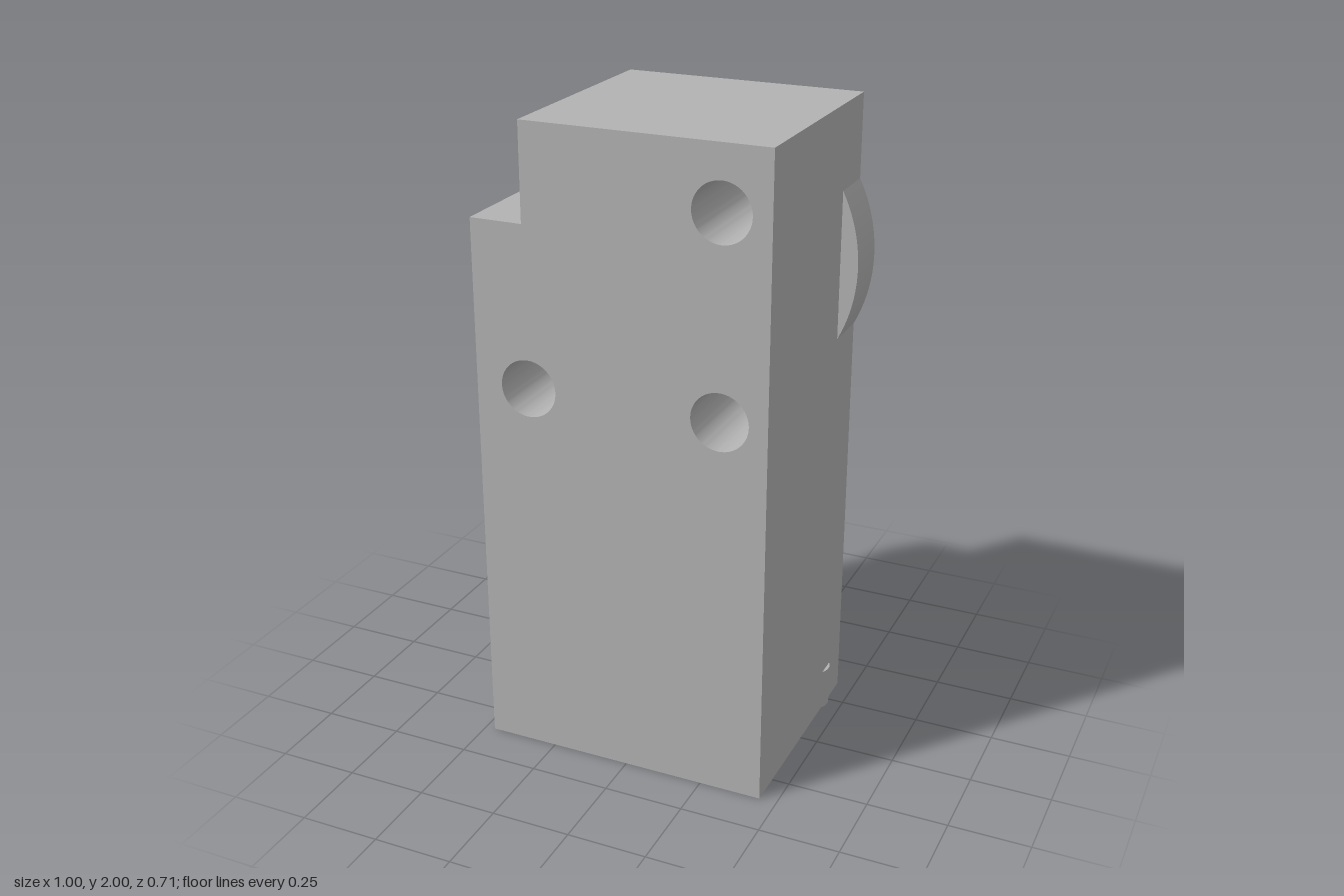
import * as THREE from 'three';
import { toCreasedNormals } from 'three/addons/utils/BufferGeometryUtils.js';

const LEFT = 0.445, RIGHT = -0.47, DEPTH = 0.356;
const STEP_Z = -0.204; // front plane of the rear disc, floor of the counterbores
const SLAB = 0.25;     // height of the drilled base

export function createModel() {
  const group = new THREE.Group();
  const grey = new THREE.MeshStandardMaterial({ color: 0xb2b2b2 });
  grey.name = 'grey';

  const add = (name, geometry) => {
    const mesh = new THREE.Mesh(toCreasedNormals(geometry, 0.5), grey);
    mesh.name = name;
    group.add(mesh);
    return mesh;
  };

  const extrude = (shape, depth) =>
    new THREE.ExtrudeGeometry(shape, { depth, bevelEnabled: false, curveSegments: 32 });

  const drill = (shape, centres, radius) => {
    for (const [x, y] of centres) {
      shape.holes.push(new THREE.Path().absarc(x, y, radius, 0, Math.PI * 2, true));
    }
    return shape;
  };

  const polygon = (points) => new THREE.Shape(points.map(([x, y]) => new THREE.Vector2(x, y)));

  // Part of a circle beyond a flat wall, to the +x side
  const segment = (centreX, centreY, radius, wallX) => {
    const angle = Math.acos((wallX - centreX) / radius);
    return new THREE.Shape().absarc(centreX, centreY, radius, -angle, angle, false);
  };

  // Stepped upper body: wide counterbores in front, narrow holes behind
  const outline = [[RIGHT, SLAB], [LEFT, SLAB], [LEFT, 2], [-0.305, 2], [-0.305, 1.705], [RIGHT, 1.705]];
  const bolts = [[0.3, 1.81], [0.3, 1.21], [-0.3, 1.21]];
  add('bodyFront', extrude(drill(polygon(outline), bolts, 0.088), DEPTH - STEP_Z))
    .position.z = STEP_Z;
  add('bodyBack', extrude(drill(polygon(outline), bolts, 0.032), STEP_Z + DEPTH))
    .position.z = -DEPTH;

  // Base with two rows of blind holes from below
  const baseHoles = [];
  for (const x of [-0.385, -0.11, 0.11, 0.385]) {
    for (const z of [-0.227, 0.247]) baseHoles.push([x, -z]);
  }
  const footprint = polygon([[RIGHT, -DEPTH], [LEFT, -DEPTH], [LEFT, DEPTH], [RIGHT, DEPTH]]);
  add('base', extrude(drill(footprint, baseHoles, 0.034), SLAB).rotateX(-Math.PI / 2));

  // Rear disc, seen only where it bulges past each side wall
  const discDepth = STEP_Z + DEPTH;
  add('discLeft', extrude(segment(0, 1.515, 0.5, LEFT), discDepth)).position.z = -DEPTH;
  const discRight = add('discRight', extrude(segment(0, 1.515, 0.5, -RIGHT), discDepth));
  discRight.rotation.z = Math.PI;
  discRight.position.set(0, 1.515 * 2, -DEPTH);

  // Small rounded key low on the left wall
  add('key', extrude(segment(0.397, 0.225, 0.058, LEFT), 0.135).rotateX(-Math.PI / 2));

  return group;
}
